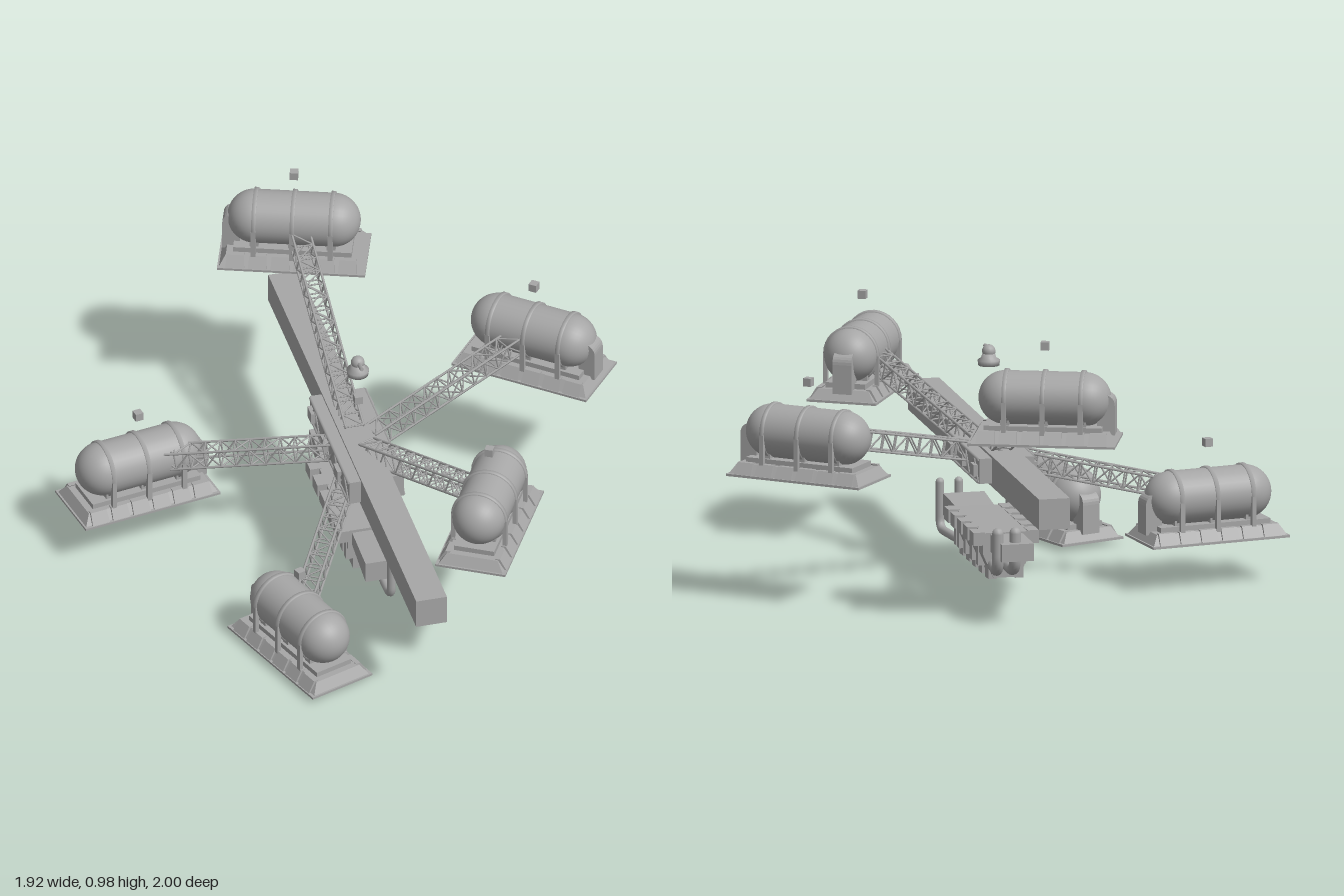
import * as THREE from 'three';
import { mergeGeometries } from 'three/addons/utils/BufferGeometryUtils.js';

const V = (x, y, z) => new THREE.Vector3(x, y, z);

export function createModel() {
  const model = new THREE.Group();
  model.name = 'tankStation';
  const hullGrey = new THREE.MeshStandardMaterial({ color: 0xa6a6a6 });
  hullGrey.name = 'hullGrey';

  const add = (parent, name, geo, x = 0, y = 0, z = 0) => {
    const m = new THREE.Mesh(geo, hullGrey);
    m.name = name;
    m.position.set(x, y, z);
    parent.add(m);
    return m;
  };
  const box = (w, h, d, x = 0, y = 0, z = 0) => new THREE.BoxGeometry(w, h, d).translate(x, y, z);

  // Box whose top face is resized and shifted along z
  const taperBox = (w, h, d, sx, sz, shiftZ = 0) => {
    const g = new THREE.BoxGeometry(w, h, d);
    const p = g.attributes.position;
    for (let i = 0; i < p.count; i++) {
      if (p.getY(i) > 0) {
        p.setX(i, p.getX(i) * sx);
        p.setZ(i, p.getZ(i) * sz + shiftZ);
      }
    }
    g.computeVertexNormals();
    return g;
  };

  // Thin rod between two points
  const strut = (a, b, r) => {
    const d = b.clone().sub(a);
    const g = new THREE.CylinderGeometry(r, r, d.length(), 5, 1);
    g.applyQuaternion(new THREE.Quaternion().setFromUnitVectors(V(0, 1, 0), d.clone().normalize()));
    const c = a.clone().add(b).multiplyScalar(0.5);
    return g.translate(c.x, c.y, c.z);
  };

  // Square lattice boom from a to b
  const truss = (a, b, w) => {
    const dir = b.clone().sub(a);
    const bays = Math.round(dir.length() / 0.05);
    const side = V(0, 1, 0).cross(dir).normalize();
    const up = dir.clone().normalize().cross(side);
    const corner = (i, k) => a.clone().addScaledVector(dir, i / bays)
      .addScaledVector(side, (k === 0 || k === 3 ? -w : w) / 2)
      .addScaledVector(up, (k < 2 ? -w : w) / 2);
    const parts = [];
    for (let k = 0; k < 4; k++) {
      const n = (k + 1) % 4;
      parts.push(strut(corner(0, k), corner(bays, k), 0.0045));
      for (let i = 0; i <= bays; i++) {
        parts.push(strut(corner(i, k), corner(i, n), 0.003));
        if (i < bays) parts.push(strut(corner(i, i % 2 ? k : n), corner(i + 1, i % 2 ? n : k), 0.003));
      }
    }
    return mergeGeometries(parts);
  };

  // Tank on a skid; the end pillar is at local +x
  const pillarShape = new THREE.Shape();
  pillarShape.moveTo(0.18, 0.03);
  pillarShape.lineTo(0.24, 0.03);
  pillarShape.lineTo(0.24, 0.13);
  pillarShape.quadraticCurveTo(0.24, 0.172, 0.18, 0.172);
  const makePod = () => {
    const pod = new THREE.Group();
    add(pod, 'skidFloor', box(0.5, 0.008, 0.244, 0, 0.004, 0));
    add(pod, 'skidBase', taperBox(0.49, 0.036, 0.226, 0.91, 0.78), 0, 0.024, 0);
    add(pod, 'skidDeck', box(0.4, 0.02, 0.14, 0, 0.05, 0));
    // Sloped armour panels along both long sides
    for (const s of [-1, 1]) {
      for (let i = 0; i < 6; i++) {
        add(pod, 'skidPanel', taperBox(0.064, 0.042, 0.018, 0.9, 1, -s * 0.026),
          (i - 2.5) * 0.076, 0.025, s * 0.112);
      }
    }
    add(pod, 'tank', new THREE.CapsuleGeometry(0.091, 0.268, 12, 32).rotateZ(Math.PI / 2), 0, 0.145, 0);
    // Straps with supporting legs
    for (const x of [-0.13, 0, 0.13]) {
      const ring = new THREE.LatheGeometry(
        [[0.089, -0.007], [0.097, -0.007], [0.097, 0.007], [0.089, 0.007]].map(p => new THREE.Vector2(...p)), 32);
      add(pod, 'strap', ring.rotateZ(Math.PI / 2), x, 0.145, 0);
      for (const s of [-1, 1]) add(pod, 'strapLeg', box(0.016, 0.11, 0.014), x, 0.09, s * 0.09);
      add(pod, 'saddle', box(0.03, 0.05, 0.12), x, 0.06, 0);
    }
    const pillar = new THREE.ExtrudeGeometry(pillarShape, { depth: 0.066, bevelEnabled: false, curveSegments: 8 });
    add(pod, 'endPillar', pillar, 0, 0, -0.033);
    add(pod, 'beaconCube', box(0.028, 0.028, 0.028), 0, 0.325, 0);
    return pod;
  };

  // Five pods around the hub: position and heading in degrees
  const hub = V(0, 0.42, 0.03);
  const pods = [
    ['back', 0, 0.64, -0.8, 200],
    ['leftBack', 0.688, 0.432, -0.25, 40],
    ['leftFront', 0.275, 0.505, 0.717, 300],
    ['rightBack', -0.69, 0.155, -0.25, -10],
    ['rightFront', -0.348, 0.017, 0.58, 250],
  ];
  for (const [name, x, y, z, deg] of pods) {
    const pod = makePod();
    pod.name = name + 'Pod';
    pod.position.set(x, y, z);
    pod.rotation.y = -THREE.MathUtils.degToRad(deg);
    model.add(pod);
    const target = V(x, y + 0.145, z);
    const len = target.distanceTo(hub);
    add(model, name + 'Truss', truss(hub.clone().lerp(target, 0.06 / len), hub.clone().lerp(target, 1 - 0.08 / len), 0.062));
  }

  // Long central beam and hub sleeve
  add(model, 'mainBeam', box(0.107, 0.105, 1.93), -0.002, 0.413, 0.035);
  add(model, 'hubSleeve', box(0.19, 0.086, 0.515), 0, 0.415, 0.022);
  for (const s of [-1, 1]) {
    for (const z of [-0.19, -0.02, 0.15]) add(model, 'hubClamp', box(0.02, 0.04, 0.05), s * 0.1, 0.413, z);
    const rails = [];
    for (const y of [0.375, 0.455]) rails.push(strut(V(s * 0.096, y, -0.23), V(s * 0.096, y, 0.275), 0.005));
    for (let i = 0; i < 8; i++) {
      const z = -0.23 + i * 0.063;
      rails.push(strut(V(s * 0.096, i % 2 ? 0.455 : 0.375, z), V(s * 0.096, i % 2 ? 0.375 : 0.455, z + 0.063), 0.004));
    }
    add(model, 'hubLattice', mergeGeometries(rails));
  }
  add(model, 'centreCube', box(0.028, 0.028, 0.028), 0, 0.62, 0.035);

  // Hanging machinery module
  const hull = new THREE.Shape([[-0.045, 0.045], [0.045, 0.045], [0.08, 0.125], [0.08, 0.2], [-0.08, 0.2], [-0.08, 0.125]]
    .map(p => new THREE.Vector2(...p)));
  add(model, 'moduleHull', new THREE.ExtrudeGeometry(hull, { depth: 0.43, bevelEnabled: false }), 0, 0, -0.23);
  add(model, 'moduleNose', taperBox(0.13, 0.2, 0.05, 1.1, 1.5).rotateX(Math.PI / 2), 0, 0.165, 0.3);
  add(model, 'moduleTail', box(0.11, 0.06, 0.18), 0, 0.165, -0.31);
  for (let i = 0; i < 5; i++) {
    const z = -0.198 + i * 0.093;
    for (const s of [-1, 1]) {
      add(model, 'upperBlock', box(0.04, 0.045, 0.062), s * 0.093, 0.18, z);
      add(model, 'sideRib', box(0.03, 0.09, 0.03), s * 0.068, 0.12, z + 0.046 * (i < 4 ? 1 : 0));
      add(model, 'lowerBlock', box(0.03, 0.06, 0.05), s * 0.046, 0.07, z);
    }
  }

  // Bent pipes; corners are rounded by short curves
  const pipe = (name, pts, r, bend) => {
    const path = new THREE.CurvePath();
    let from = pts[0];
    for (let i = 1; i < pts.length - 1; i++) {
      const p = pts[i];
      const a = p.clone().add(pts[i - 1].clone().sub(p).setLength(bend));
      const b = p.clone().add(pts[i + 1].clone().sub(p).setLength(bend));
      path.add(new THREE.LineCurve3(from, a));
      path.add(new THREE.QuadraticBezierCurve3(a, p, b));
      from = b;
    }
    const end = pts[pts.length - 1];
    path.add(new THREE.LineCurve3(from, end));
    add(model, name, new THREE.TubeGeometry(path, 40, r, 12));
    for (const p of [pts[0], end]) add(model, name + 'Cap', new THREE.SphereGeometry(r, 12, 8), p.x, p.y, p.z);
  };
  for (const x of [0.01, 0.075]) {
    pipe('frontPipe', [V(x, 0.235, 0.43), V(x, 0.075, 0.43), V(x * 0.6, 0.075, 0.19)], 0.015, 0.04);
  }
  for (const x of [0, 0.06]) {
    pipe('backPipe', [V(x, 0.225, -0.36), V(x, 0.09, -0.36), V(x * 0.7, 0.09, -0.2)], 0.02, 0.06);
  }

  // Small turrets above and below
  const makeTurret = (name, y, flip) => {
    const t = new THREE.Group();
    t.name = name;
    const profile = [[0, 0], [0.036, 0], [0.038, 0.018], [0.026, 0.026], [0.02, 0.045], [0, 0.045]];
    add(t, 'turretBase', new THREE.LatheGeometry(profile.map(p => new THREE.Vector2(...p)), 20));
    add(t, 'turretHead', new THREE.SphereGeometry(0.023, 16, 12), 0, 0.048, 0);
    add(t, 'turretBarrel', strut(V(0, 0.052, 0), V(0, 0.056, 0.056), 0.007));
    t.position.set(0, y, 0.03);
    if (flip) t.rotation.z = Math.PI;
    model.add(t);
  };
  makeTurret('upperTurret', 0.72, false);
  makeTurret('lowerTurret', 0.071, true);

  return model;
}
